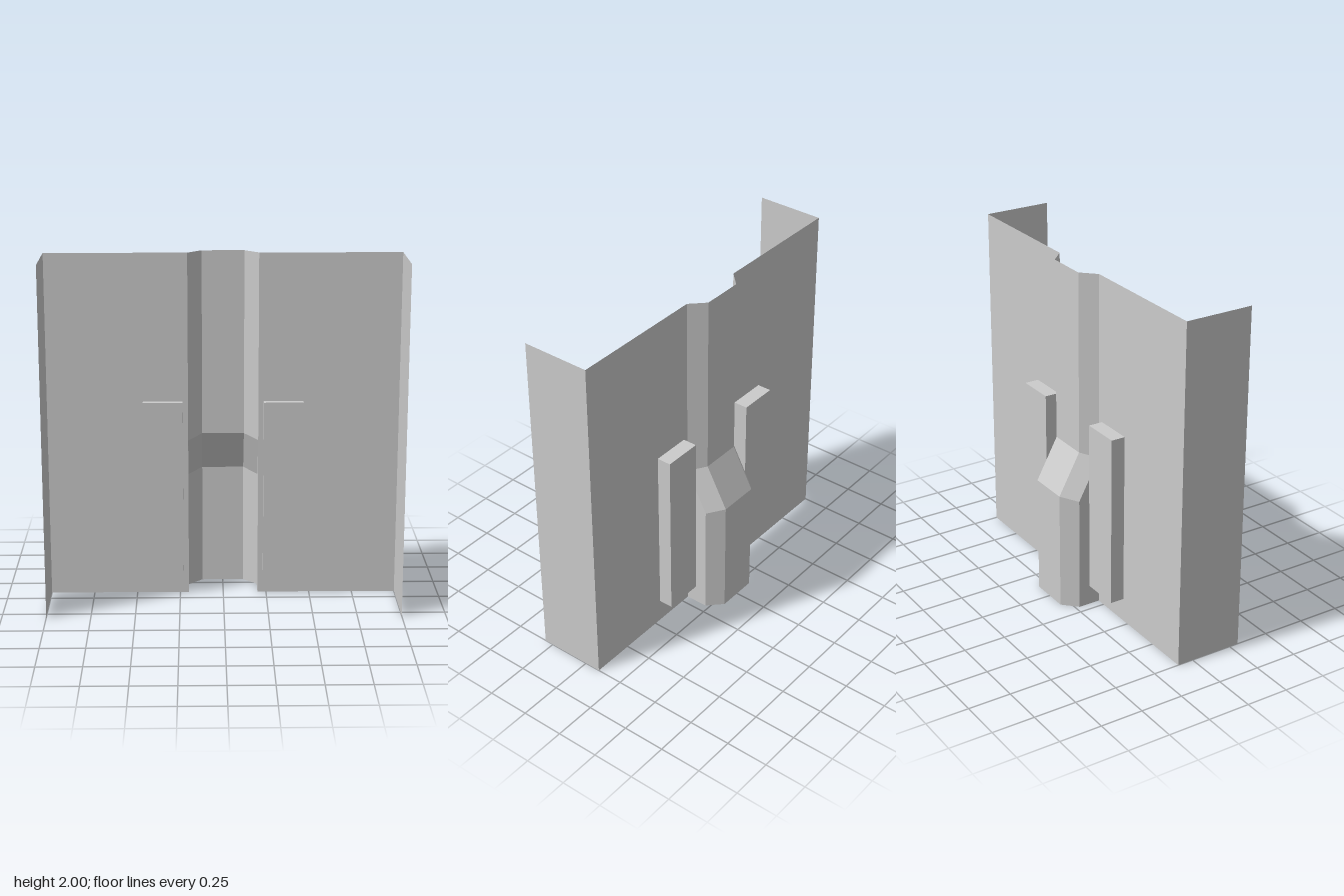
import * as THREE from 'three';

const material = new THREE.MeshStandardMaterial({ color: 0xcccccc, flatShading: true, side: THREE.DoubleSide });
const PANEL_Z = -0.095, FRONT_Z = 0.305, RIB_DEPTH = 0.08, STEP = 0.13;

// Joins equally long rows of [x, y, z] points, listed bottom to top, into a sheet
function loft(rows) {
  const pos = [];
  const same = (a, b) => a.every((v, i) => Math.abs(v - b[i]) < 1e-6);
  const tri = (a, b, c) => {
    if (!same(a, b) && !same(b, c) && !same(a, c)) pos.push(...a, ...b, ...c);
  };
  for (let r = 0; r < rows.length - 1; r++) {
    const lo = rows[r], hi = rows[r + 1];
    for (let i = 0; i < lo.length - 1; i++) {
      tri(lo[i], lo[i + 1], hi[i + 1]);
      tri(lo[i], hi[i + 1], hi[i]);
    }
  }
  const geometry = new THREE.BufferGeometry();
  geometry.setAttribute('position', new THREE.Float32BufferAttribute(pos, 3));
  geometry.computeVertexNormals();
  return geometry;
}

export function createModel() {
  const group = new THREE.Group();
  const add = (name, geometry) => {
    const mesh = new THREE.Mesh(geometry, material);
    mesh.name = name;
    group.add(mesh);
    return mesh;
  };

  // Flat sheet halves with a forward flange along each outer edge
  const half = [[-1, FRONT_Z], [-1, PANEL_Z], [-0.2, PANEL_Z]];
  const rightRows = [0, 2].map(y => half.map(([x, z]) => [x, y, z]));
  const leftRows = rightRows.map(row => row.map(([x, y, z]) => [-x, y, z]).reverse());
  add('rightPanel', loft(rightRows));
  add('leftPanel', loft(leftRows));

  // Central rib, pushed further back in its lower part, with walls closing the step
  const ribRow = (yEdge, yCrest, step) => {
    const side = [
      [-0.2, yEdge, PANEL_Z],
      [-0.2, yEdge, PANEL_Z - step],
      [-0.12, yCrest, PANEL_Z - step - RIB_DEPTH],
    ];
    return [...side, ...side.map(([x, y, z]) => [-x, y, z]).reverse()];
  };
  add('centralRib', loft([
    ribRow(0, 0, STEP),
    ribRow(0.68, 0.7, STEP),
    ribRow(0.92, 0.94, 0),
    ribRow(2, 2, 0),
  ]));

  // Blocks set through the sheet on both sides of the rib
  for (const [name, s] of [['leftBlock', 1], ['rightBlock', -1]]) {
    add(name, new THREE.BoxGeometry(0.226, 1.01, 0.122)).position.set(s * 0.343, 0.645, -0.117);
  }
  return group;
}
